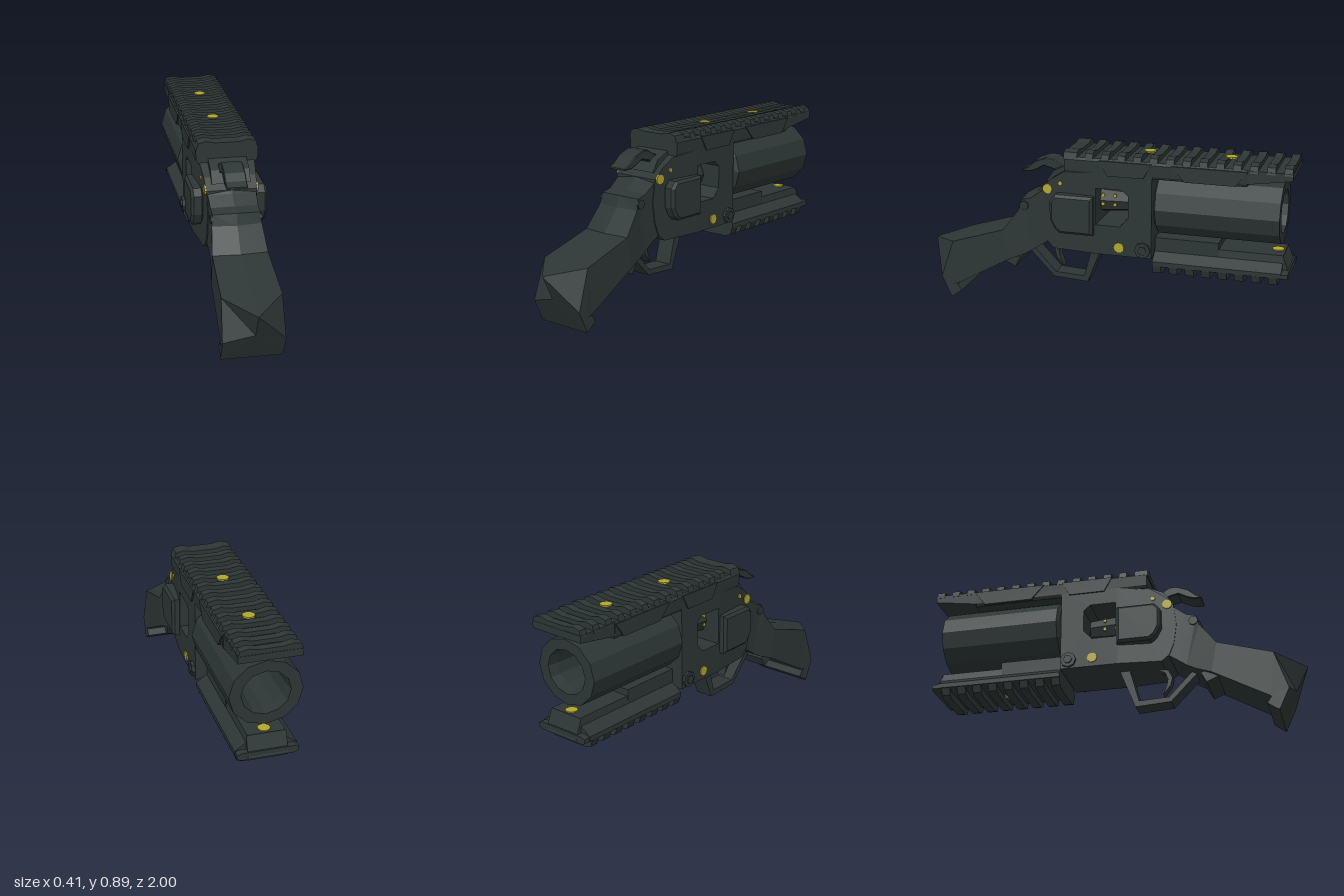
import * as THREE from 'three';

const dark = new THREE.MeshStandardMaterial({ color: 0x2d3635 });
dark.name = 'dark gunmetal';
const gold = new THREE.MeshStandardMaterial({ color: 0xb2a72c });
gold.name = 'gold';

export function createModel() {
  const model = new THREE.Group();
  const body = new THREE.Group();
  body.name = 'body';
  // the whole piece is turned very slightly about its vertical axis
  body.rotation.y = -0.025;
  body.position.x = -0.008;
  model.add(body);

  const add = (name, geo, mat = dark) => {
    const g = geo.index ? geo.toNonIndexed() : geo;
    g.computeVertexNormals();
    const m = new THREE.Mesh(g, mat);
    m.name = name;
    body.add(m);
    return m;
  };
  const path = (pts) => pts.map(([a, b]) => new THREE.Vector2(a, b));

  // side outline given as [z, y], extruded across x
  const slab = (pts, x0, x1, hole, bevel = 0) => {
    const shape = new THREE.Shape(path(pts.map(([z, y]) => [-z, y])));
    if (hole) shape.holes.push(new THREE.Path(path(hole.map(([z, y]) => [-z, y]))));
    const g = new THREE.ExtrudeGeometry(shape, {
      depth: x1 - x0 - 2 * bevel, bevelEnabled: bevel > 0, bevelSize: bevel,
      bevelOffset: -bevel, bevelThickness: bevel, bevelSegments: 1,
    });
    return g.rotateY(Math.PI / 2).translate(x0 + bevel, 0, 0);
  };
  // half cross-section given as [x, y], mirrored and extruded along z
  const bar = (half, z0, z1) => {
    const pts = [...half, ...half.map(([x, y]) => [-x, y]).reverse()];
    return new THREE.ExtrudeGeometry(new THREE.Shape(path(pts)), { depth: z1 - z0, bevelEnabled: false })
      .translate(0, 0, z0);
  };
  const discX = (r, t, sides, x, y, z) =>
    new THREE.CylinderGeometry(r, r, t, sides).rotateZ(Math.PI / 2).translate(x, y, z);

  // frame with a see-through window
  add('frame', slab(
    [[0.03, 0.34], [-0.28, 0.34], [-0.28, 0.8], [0.03, 0.8]], -0.16, 0.16,
    [[0.02, 0.5], [-0.11, 0.5], [-0.155, 0.55], [-0.155, 0.67], [-0.12, 0.7], [0.02, 0.7]]));
  const rear = slab([[0.03, 0.34], [0.26, 0.34], [0.3, 0.375], [0.325, 0.44], [0.34, 0.55],
    [0.325, 0.67], [0.27, 0.725], [0.19, 0.775], [0.19, 0.8], [0.03, 0.8]], -0.16, 0.16);
  const rp = rear.attributes.position;
  for (let i = 0; i < rp.count; i++) {
    const t = (rp.getZ(i) - 0.03) / 0.31;
    rp.setX(i, rp.getX(i) * (1 - 0.2 * t));
  }
  add('frameRear', rear);

  // drum inside the window
  add('drum', new THREE.CylinderGeometry(0.065, 0.08, 0.17, 8).rotateX(-Math.PI / 2).translate(0, 0.61, -0.06));
  add('drumAxle', new THREE.CylinderGeometry(0.03, 0.03, 0.2, 8).rotateX(Math.PI / 2).translate(0, 0.61, -0.07));

  // barrel with an open bore
  const barrel = new THREE.LatheGeometry(path(
    [[0.001, 0], [0.165, 0], [0.184, 0.012], [0.184, 0.655], [0.124, 0.655], [0.115, 0.6], [0.115, 0.05], [0.001, 0.05]]), 12);
  barrel.rotateX(-Math.PI / 2).scale(1, 0.93, 1).translate(0, 0.615, -0.29);
  add('barrel', barrel);

  // top rail
  add('topRailBase', bar([[0.15, 0.77], [0.16, 0.785], [0.163, 0.845], [0.15, 0.857]], -0.77, 0.19));
  add('topRailTip', slab([[-0.77, 0.785], [-1, 0.82], [-1, 0.857], [-0.77, 0.857]], -0.158, 0.158));
  const topTooth = [[0.16, 0.845], [0.15, 0.88], [0.11, 0.89], [0.06, 0.88]];
  for (let i = 0; i < 14; i++) {
    const z = 0.15 - i * 0.0862;
    add('topRailTooth', bar(topTooth, z - 0.027, i ? z + 0.015 : 0.195));
  }

  // lower rail
  add('lowerRailNeck', bar([[0.1, 0.36], [0.1, 0.44]], -0.625, -0.285));
  add('lowerRailBody', bar([[0.12, 0.285], [0.157, 0.3], [0.157, 0.325], [0.1, 0.365], [0.095, 0.405]], -0.96, -0.285));
  add('lowerRailTip', slab([[-0.96, 0.295], [-0.96, 0.4], [-0.998, 0.3]], -0.1, 0.1));
  add('lowerRailLip', bar([[0.13, 0.292], [0.155, 0.3], [0.155, 0.322], [0.13, 0.33]], -0.995, -0.95));
  for (let i = 0; i < 8; i++) {
    const z = -0.308 - i * 0.087;
    add('lowerRailTooth', bar([[0.105, 0.248], [0.14, 0.26], [0.155, 0.302]], z - 0.023, z + 0.023));
  }

  // parts repeated on both sides
  for (const s of [-1, 1]) {
    const plate = [[0.03, 0.445], [0.21, 0.445], [0.24, 0.47], [0.265, 0.52], [0.265, 0.62], [0.235, 0.655], [0.03, 0.655]];
    add('sidePlate', slab(plate, s > 0 ? 0.13 : -0.199, s > 0 ? 0.199 : -0.13, null, 0.014));
    const panel = (zs) => slab([[zs[0], 0.85], [zs[1], 0.772], [zs[2], 0.772], [zs[3], 0.85]],
      s > 0 ? 0.15 : -0.168, s > 0 ? 0.168 : -0.15);
    add('railPanel', panel([0, -0.043, -0.235, -0.278]));
    add('railPanel', panel([-0.38, -0.45, -0.716, -0.77]));
    add('pivotBolt', discX(0.042, 0.02, 8, s * 0.165, 0.385, -0.235));
    add('pivotBoltHead', discX(0.024, 0.02, 6, s * 0.172, 0.385, -0.235));
    add('gripBolt', discX(0.025, 0.012, 8, s * 0.125, 0.56, 0.43));
    add('goldPin', discX(0.027, 0.009, 10, s * 0.135, 0.668, 0.294), gold);
    add('goldPin', discX(0.012, 0.009, 8, s * 0.143, 0.706, 0.22), gold);
    add('goldPin', discX(0.027, 0.009, 10, s * 0.162, 0.387, -0.107), gold);
    for (const z of [0.005, -0.06])
      for (const y of [0.59, 0.64]) add('drumPin', discX(0.01, 0.009, 6, s * 0.072, y, z), gold);
  }

  // gold studs on the rails
  for (const [y, z] of [[0.879, -0.23], [0.879, -0.66], [0.283, -0.6], [0.406, -0.92]])
    add('goldStud', new THREE.CylinderGeometry(0.032, 0.032, 0.009, 10).translate(0, y, z), gold);

  // grip: [spine z, y], [back edge z, y], [front edge z, y], half width
  const stations = [
    [[0.29, 0.7], [0.28, 0.7], [0.26, 0.36], 0.125],
    [[0.34, 0.655], [0.33, 0.65], [0.3, 0.37], 0.125],
    [[0.4, 0.61], [0.39, 0.605], [0.34, 0.345], 0.122],
    [[0.455, 0.594], [0.445, 0.59], [0.39, 0.31], 0.122],
    [[0.475, 0.535], [0.46, 0.535], [0.435, 0.285], 0.128],
    [[0.565, 0.417], [0.55, 0.415], [0.52, 0.25], 0.142],
    [[1.0, 0.29], [0.84, 0.325], [0.815, 0.085], 0.15],
    [[0.935, 0.16], [0.91, 0.118], [0.857, 0.004], 0.157],
  ].map(([a, b, c, w]) => [[0, a], [w, b], [w, c], [-w, c], [-w, b]].map(([x, [z, y]]) => [x, y, z]));
  const verts = [];
  for (let i = 0; i < stations.length - 1; i++)
    for (let j = 0; j < 5; j++) {
      const k = (j + 1) % 5, p = stations[i], q = stations[i + 1];
      verts.push(...p[j], ...q[j], ...q[k], ...p[j], ...q[k], ...p[k]);
    }
  const end = stations[stations.length - 1];
  for (let k = 1; k < 4; k++) verts.push(...end[0], ...end[k + 1], ...end[k]);
  const grip = new THREE.BufferGeometry();
  grip.setAttribute('position', new THREE.Float32BufferAttribute(verts, 3));
  add('grip', grip);
  add('gripToe', slab([[0.857, 0.002], [0.797, 0.045], [0.823, 0.085], [0.88, 0.07]], -0.155, 0.155));
  add('gripKnuckle', slab([[0.555, 0.235], [0.49, 0.207], [0.46, 0.26], [0.54, 0.29]], -0.12, 0.12));

  // hammer
  add('hammerSeat', slab([[0.18, 0.8], [0.27, 0.76], [0.31, 0.7], [0.18, 0.68]], -0.1, 0.1));
  const hammer = slab([[0.465, 0.728], [0.465, 0.737], [0.43, 0.755], [0.395, 0.787], [0.33, 0.812], [0.29, 0.81],
    [0.25, 0.785], [0.19, 0.77], [0.19, 0.72], [0.26, 0.73], [0.29, 0.755], [0.34, 0.767], [0.39, 0.74], [0.42, 0.73]],
  -0.055, 0.055, null, 0.004);
  add('hammer', hammer);

  // trigger guard and trigger
  add('triggerGuard', slab([[0.44, 0.3], [0.29, 0.145], [0.1, 0.133], [0.015, 0.35], [0.07, 0.35], [0.12, 0.165],
    [0.28, 0.172], [0.41, 0.31]], -0.05, 0.05));
  add('trigger', slab([[0.245, 0.2], [0.285, 0.25], [0.295, 0.29], [0.275, 0.335], [0.2, 0.36], [0.2, 0.345],
    [0.255, 0.325], [0.27, 0.285], [0.265, 0.255]], -0.025, 0.025));

  return model;
}
